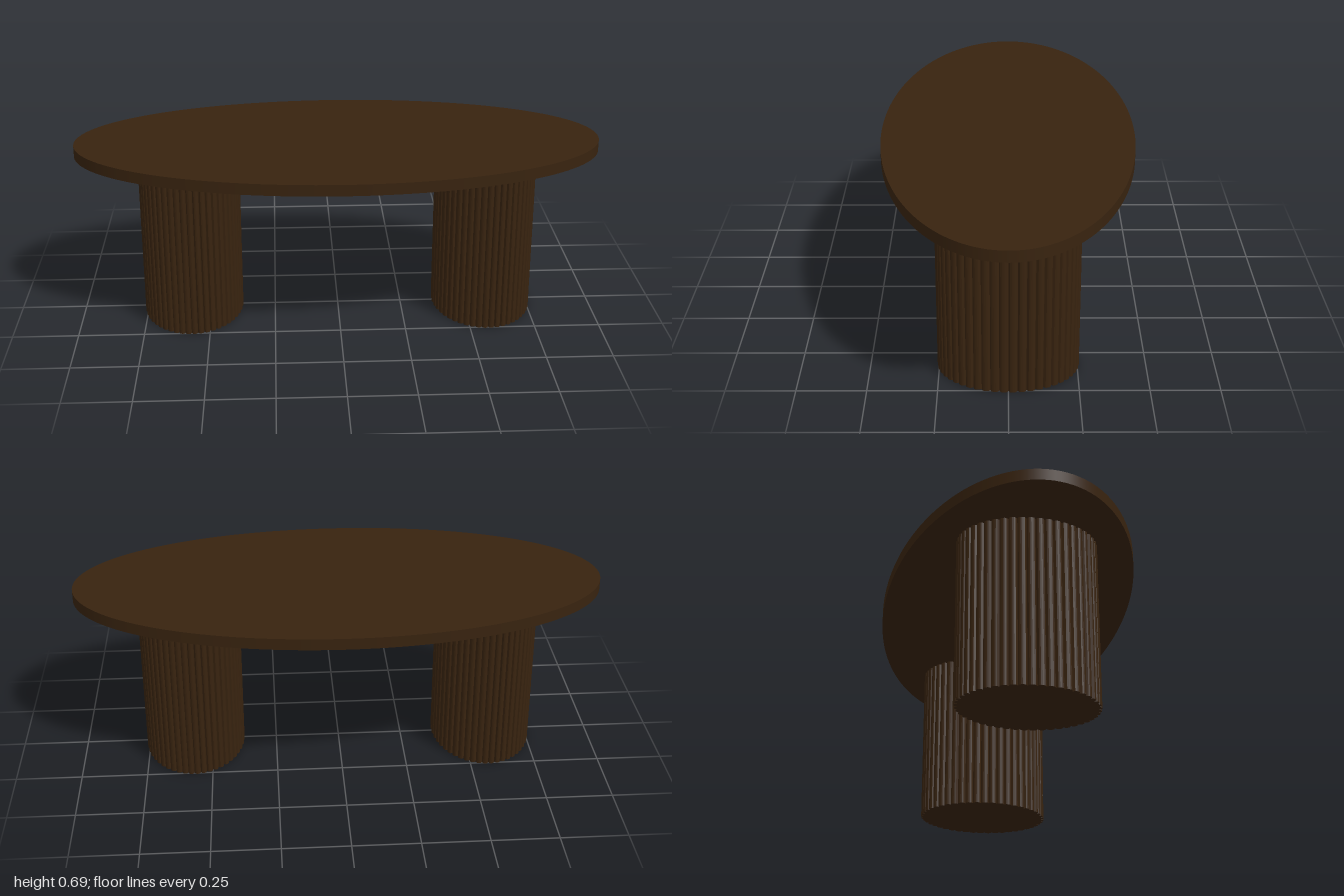
import * as THREE from 'three';

const darkWood = new THREE.MeshStandardMaterial({ color: 0x38230f });
darkWood.name = 'darkWood';

function add(parent, name, geometry, x, y, z) {
  const mesh = new THREE.Mesh(geometry, darkWood);
  mesh.name = name;
  mesh.position.set(x, y, z);
  parent.add(mesh);
  return mesh;
}

// Elliptical column whose outline is a ring of rounded ribs
function flutedColumn(rx, rz, height, ribs) {
  const steps = 6, depth = 0.011, points = [];
  for (let i = 0; i < ribs * steps; i++) {
    const a = (i / (ribs * steps)) * Math.PI * 2;
    const t = (i % steps) / steps;
    const inset = depth * (1 - Math.sqrt(1 - (2 * t - 1) ** 2));
    points.push(new THREE.Vector2(Math.cos(a) * (rx - inset), Math.sin(a) * (rz - inset)));
  }
  const geometry = new THREE.ExtrudeGeometry(new THREE.Shape(points), { depth: height, bevelEnabled: false });
  return geometry.rotateX(-Math.PI / 2);
}

export function createModel() {
  const table = new THREE.Group();
  table.name = 'ovalTable';

  // Oval top
  const top = new THREE.CylinderGeometry(1, 1, 0.043, 128).scale(1, 1, 0.478);
  add(table, 'tableTop', top, 0, 0.6685, 0);

  // Pair of ribbed pedestals
  const column = flutedColumn(0.193, 0.257, 0.648, 48);
  for (const side of [-1, 1]) {
    add(table, side > 0 ? 'leftPedestal' : 'rightPedestal', column, side * 0.57, 0, 0);
  }

  // Beam joining the pedestals
  add(table, 'stretcher', new THREE.BoxGeometry(0.8, 0.082, 0.085), 0, 0.557, 0);

  return table;
}
